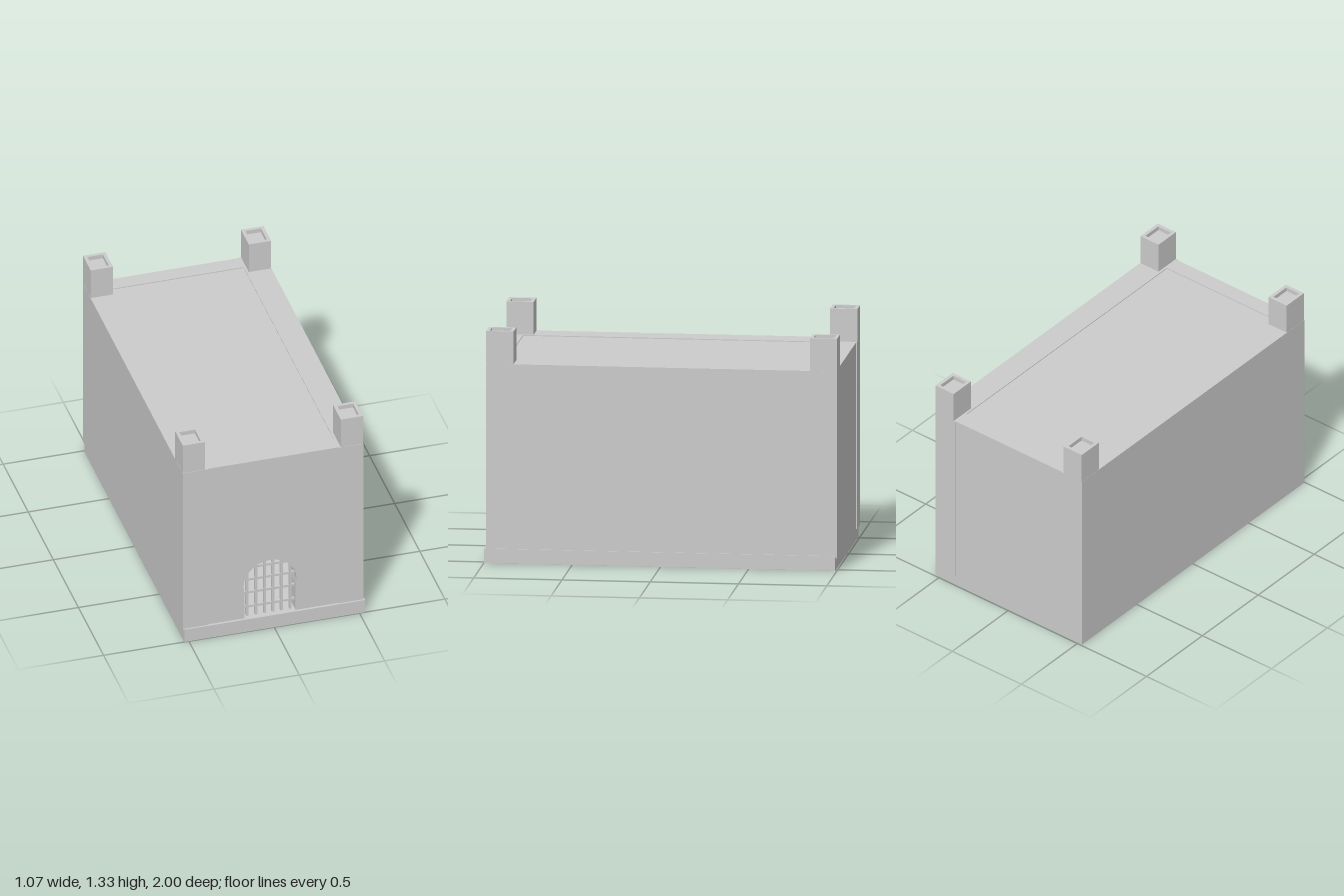
import * as THREE from 'three';

const mat = new THREE.MeshStandardMaterial({ color: 0xcccccc, flatShading: true });

// Box given by its min and max corners
function block(name, [x0, y0, z0], [x1, y1, z1]) {
  const mesh = new THREE.Mesh(new THREE.BoxGeometry(x1 - x0, y1 - y0, z1 - z0), mat);
  mesh.position.set((x0 + x1) / 2, (y0 + y1) / 2, (z0 + z1) / 2);
  mesh.name = name;
  return mesh;
}

function extrude(shape, depth) {
  return new THREE.ExtrudeGeometry(shape, { depth, bevelEnabled: false, curveSegments: 16 });
}

// Hollow-topped corner turret
function turret(name, x0, z0, w, d) {
  const group = new THREE.Group();
  group.name = name;
  const y0 = 1.135, floor = 1.3, top = 1.325, rim = 0.02;
  group.add(block('turretBody', [x0, y0, z0], [x0 + w, floor, z0 + d]));
  const ring = new THREE.Shape([[0, 0], [w, 0], [w, d], [0, d]].map(p => new THREE.Vector2(...p)));
  ring.holes.push(new THREE.Path([[rim, rim], [rim, d - rim], [w - rim, d - rim], [w - rim, rim]]
    .map(p => new THREE.Vector2(...p))));
  const rimMesh = new THREE.Mesh(extrude(ring, top - floor), mat);
  rimMesh.name = 'turretRim';
  rimMesh.rotation.x = -Math.PI / 2;
  rimMesh.position.set(x0, floor, z0 + d);
  group.add(rimMesh);
  return group;
}

export function createModel() {
  const model = new THREE.Group();
  model.name = 'gatehouse';

  const baseTop = 0.083, wallTop = 1.138;
  const inL = -0.385, inR = 0.38;

  // Base slab, long side walls, back wall and roof
  model.add(
    block('base', [-0.527, 0, -0.99], [0.533, baseTop, 1]),
    block('rightWall', [-0.533, 0.07, -1], [inL, wallTop, 0.99]),
    block('leftWall', [inR, 0.07, -1], [0.526, wallTop, 0.99]),
    block('backWall', [inL, 0.075, -0.995], [inR, wallTop, -0.9]),
    block('roof', [inL, 1.08, -0.9], [inR, 1.133, 0.89])
  );

  // Front wall with arched gateway
  const cx = -0.02, r = 0.155, half = 0.15, spring = 0.295;
  const front = new THREE.Shape();
  front.moveTo(inL, 0.075);
  front.lineTo(cx - half, 0.075);
  front.lineTo(cx - half, spring - 0.04);
  front.absarc(cx, spring, r, Math.PI, 0, true);
  front.lineTo(cx + half, spring - 0.04);
  front.lineTo(cx + half, 0.075);
  front.lineTo(inR, 0.075);
  front.lineTo(inR, wallTop);
  front.lineTo(inL, wallTop);
  const frontWall = new THREE.Mesh(extrude(front, 0.095), mat);
  frontWall.name = 'frontWall';
  frontWall.position.z = 0.89;
  model.add(frontWall);

  // Portcullis bars, each cut to the arch
  const gate = new THREE.Group();
  gate.name = 'portcullis';
  const t = 0.007, z0 = 0.945, z1 = 0.965;
  for (const x of [-0.147, -0.095, -0.044, 0.004, 0.054, 0.106]) {
    const top = spring + Math.sqrt(r * r - (x - cx) ** 2);
    gate.add(block('verticalBar', [x - t, 0.078, z0], [x + t, top + 0.004, z1]));
  }
  for (const y of [0.143, 0.238, 0.325, 0.406]) {
    const h = y > spring ? Math.sqrt(r * r - (y - spring) ** 2) : half;
    gate.add(block('horizontalBar', [cx - h - 0.004, y - t, z0 + 0.003], [cx + h + 0.004, y + t, z1 - 0.003]));
  }
  model.add(gate);

  // Four corner turrets
  for (const [end, z] of [['front', 0.833], ['back', -1]]) {
    model.add(turret(end + 'RightTurret', -0.532, z, 0.131, 0.155));
    model.add(turret(end + 'LeftTurret', 0.394, z, 0.131, 0.155));
  }
  return model;
}
